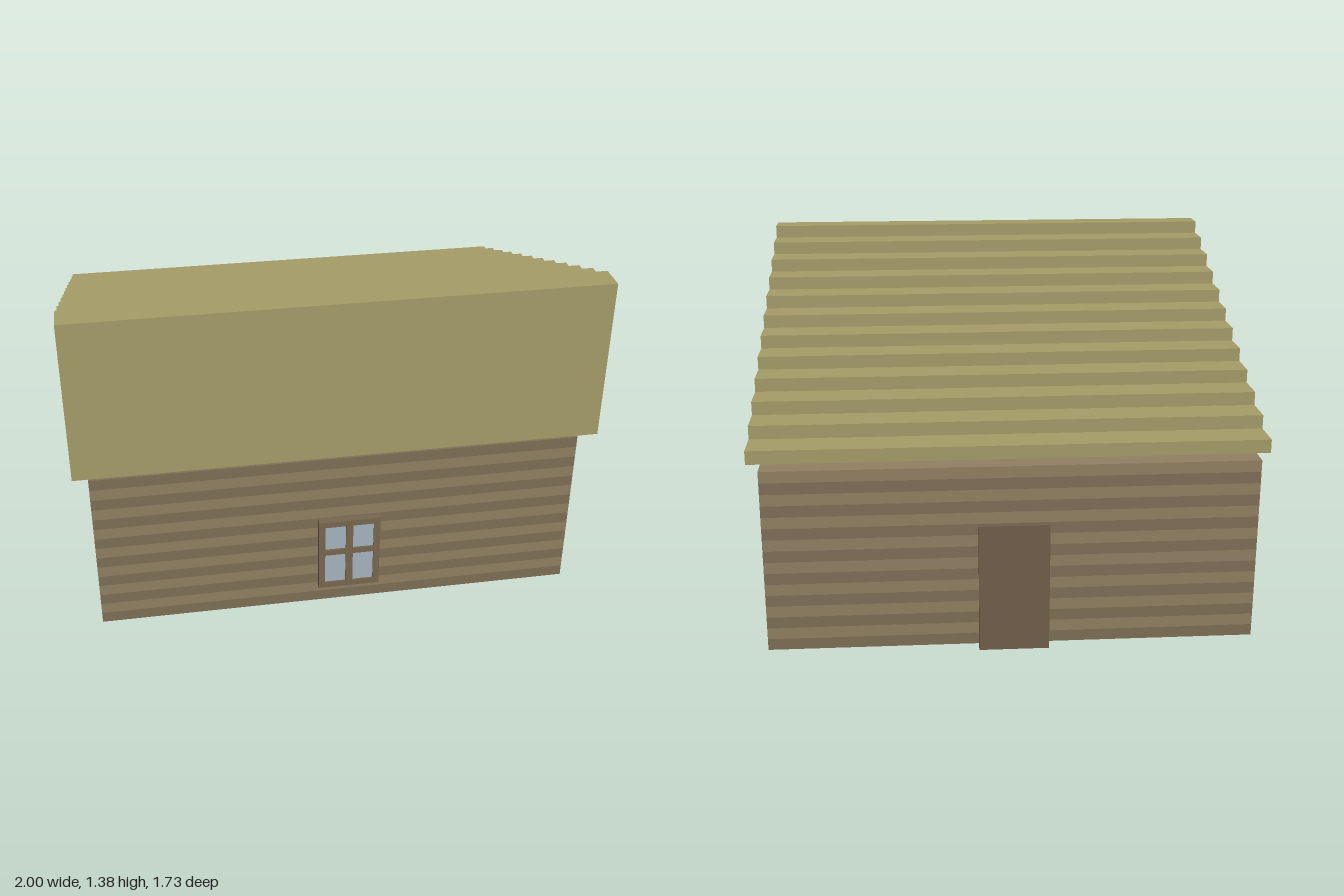
import * as THREE from 'three';

const mat = (color) => new THREE.MeshStandardMaterial({ color });
const lightWood = mat(0x917f62), darkWood = mat(0x7f6f56), roofMat = mat(0xa59c68);
const frameMat = mat(0x77674e), doorMat = mat(0x705e4b), glassMat = mat(0xa5b4bf);

function box(name, material, size, pos) {
  const mesh = new THREE.Mesh(new THREE.BoxGeometry(...size), material);
  mesh.name = name;
  mesh.position.set(...pos);
  return mesh;
}

// Solid cabin body whose sides alternate between two plank tones
function createWalls() {
  const rows = 16, height = 0.733;
  const geo = new THREE.BoxGeometry(1.89, height, 1.62, 1, rows, 1);
  geo.clearGroups();
  const side = rows * 6;
  [0, side, side * 2 + 12, side * 3 + 12].forEach((start) => {
    for (let r = 0; r < rows; r++) geo.addGroup(start + r * 6, 6, r % 2);
  });
  geo.addGroup(side * 2, 12, 0); // top and bottom
  const walls = new THREE.Mesh(geo, [lightWood, darkWood]);
  walls.name = 'plankWalls';
  walls.position.y = height / 2;
  return walls;
}

// Stepped single-pitch roof: side profile extruded along x
function createRoof() {
  const steps = 12, base = 0.733, rise = 0.054, run = 0.1353, front = 0.865;
  const shape = new THREE.Shape();
  shape.moveTo(-front, base);
  let z = -0.73;
  shape.lineTo(-z, base);
  for (let i = 1; i <= steps; i++) {
    shape.lineTo(-z, base + i * rise);
    z = i < steps ? z + run : front;
    shape.lineTo(-z, base + i * rise);
  }
  shape.closePath();
  const geo = new THREE.ExtrudeGeometry(shape, { depth: 2, bevelEnabled: false });
  geo.rotateY(Math.PI / 2).translate(-1, 0, 0);
  const roof = new THREE.Mesh(geo, roofMat);
  roof.name = 'steppedRoof';
  return roof;
}

function rectPath(Type, x0, y0, x1, y1) {
  return new Type([[x0, y0], [x1, y0], [x1, y1], [x0, y1]].map((p) => new THREE.Vector2(...p)));
}

// Four-pane window facing +z, its back on z = 0
function createWindow(name) {
  const w = 0.122, h = 0.162, depth = 0.027;
  const shape = rectPath(THREE.Shape, -w, -h, w, h);
  for (const [x0, x1] of [[-0.097, -0.014], [0.014, 0.097]]) {
    for (const [y0, y1] of [[-0.137, 0], [0.025, 0.137]]) {
      shape.holes.push(rectPath(THREE.Path, x0, y0, x1, y1));
    }
  }
  const frame = new THREE.Mesh(new THREE.ExtrudeGeometry(shape, { depth, bevelEnabled: false }), frameMat);
  frame.name = 'windowFrame';
  const glass = box('windowGlass', glassMat, [0.2, 0.28, 0.012], [0, 0, 0.014]);
  const group = new THREE.Group();
  group.name = name;
  group.add(frame, glass);
  return group;
}

export function createModel() {
  const house = new THREE.Group();
  house.name = 'cabin';
  house.add(createWalls(), createRoof());

  // Windows on the front and both sides: position and facing angle
  const windows = [
    ['frontWindow', [0.042, 0.244, 0.81], 0],
    ['leftWindow', [0.945, 0.461, 0.015], Math.PI / 2],
    ['rightWindow', [-0.945, 0.435, -0.062], -Math.PI / 2],
  ];
  for (const [name, pos, angle] of windows) {
    const win = createWindow(name);
    win.position.set(...pos);
    win.rotation.y = angle;
    house.add(win);
  }

  // Back door: a broad panel on a narrower backing
  const door = new THREE.Group();
  door.name = 'backDoor';
  door.add(
    box('doorBacking', doorMat, [0.212, 0.487, 0.03], [-0.003, 0.2435, -0.825]),
    box('doorPanel', doorMat, [0.27, 0.515, 0.025], [-0.003, 0.2575, -0.8525]),
  );
  house.add(door);
  return house;
}
